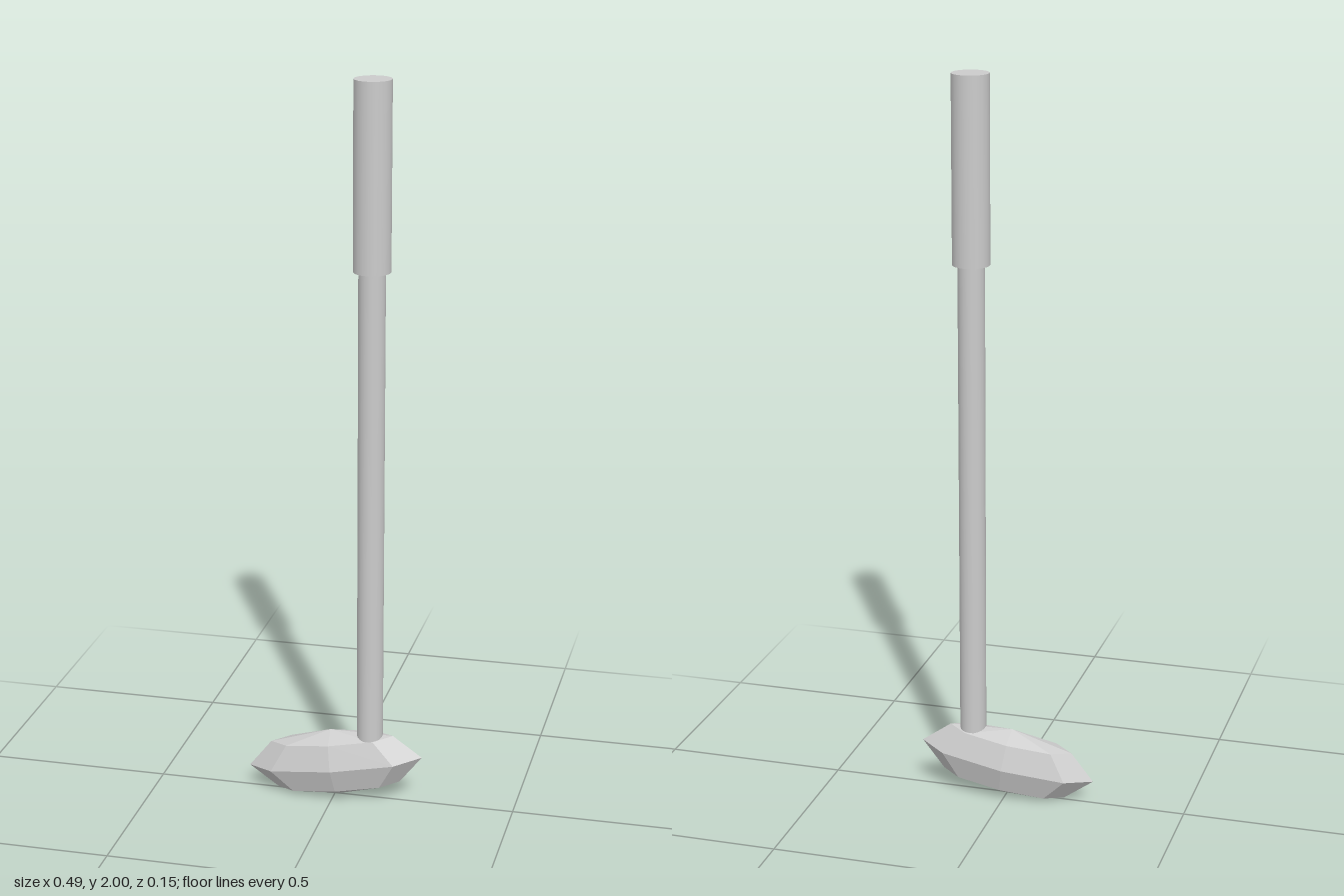
import * as THREE from 'three';

export function createModel() {
  const group = new THREE.Group();
  const smooth = new THREE.MeshStandardMaterial({ color: 0xcccccc });
  const faceted = new THREE.MeshStandardMaterial({ color: 0xcccccc, flatShading: true });
  const poleX = 0.098;

  // Upright round bar between two heights
  function bar(name, radius, y0, y1) {
    const mesh = new THREE.Mesh(new THREE.CylinderGeometry(radius, radius, y1 - y0, 20), smooth);
    mesh.name = name;
    mesh.position.set(poleX, (y0 + y1) / 2, -0.001);
    group.add(mesh);
  }
  bar('shaft', 0.036, 0.11, 1.52);
  bar('grip', 0.05, 1.5, 2);

  // Faceted club head: a stretched low-poly ball, tilted up towards the shaft
  const head = new THREE.Mesh(new THREE.SphereGeometry(1, 8, 4), faceted);
  head.name = 'head';
  head.scale.set(0.246, 0.097, 0.073);
  head.rotation.set(0, 0.02, 0.143);
  head.position.set(0, 0.098, -0.001);
  group.add(head);

  return group;
}
